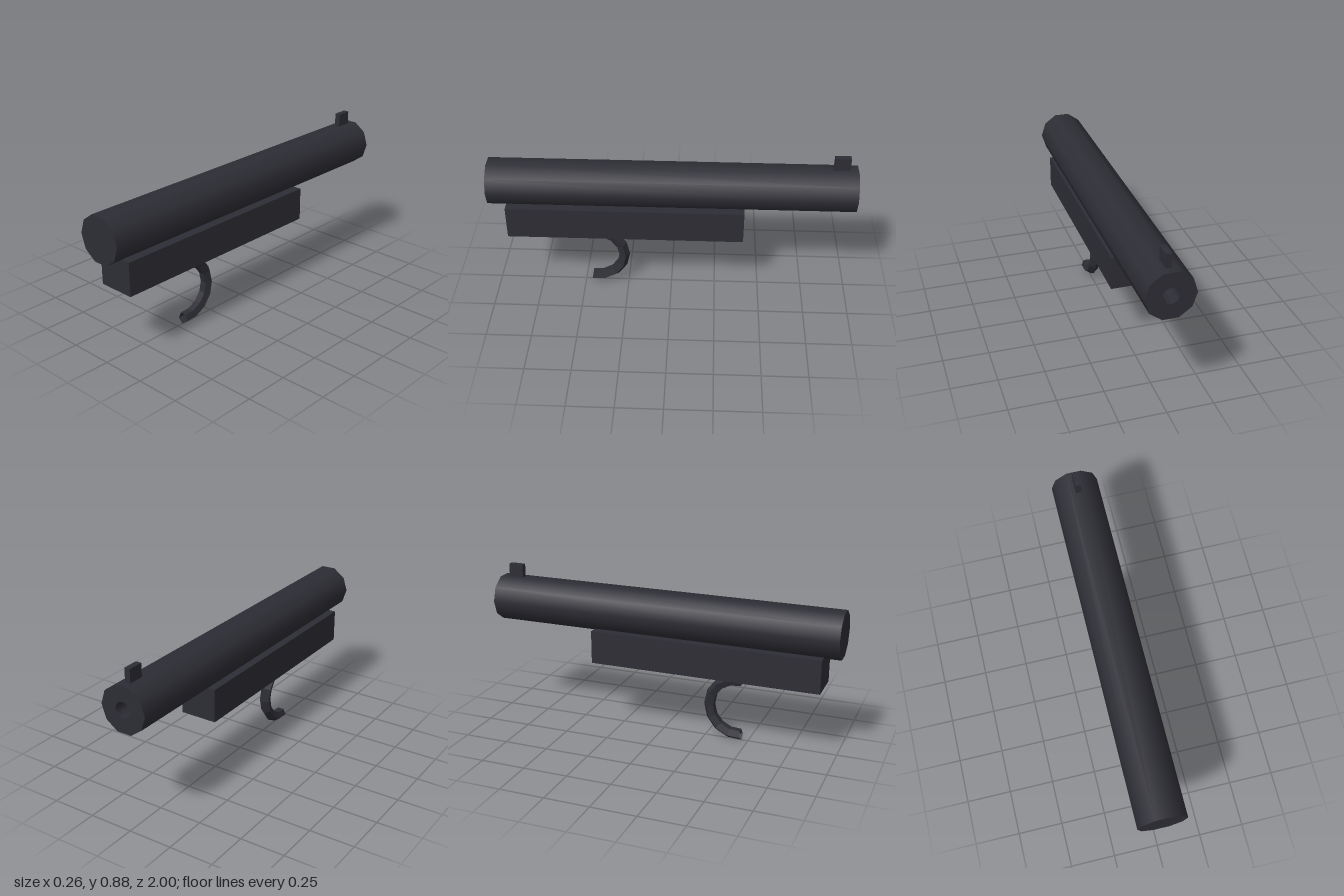
import * as THREE from 'three';

const SIDES = 10;
const BARREL_Y = 0.688, BARREL_R = 0.132, BORE_R = 0.045, BORE_DEPTH = 0.3;

export function createModel() {
  const gunmetal = new THREE.MeshStandardMaterial({ color: 0x2d2d35, side: THREE.DoubleSide });
  gunmetal.name = 'gunmetal';
  const model = new THREE.Group();
  model.name = 'model';

  const add = (parent, name, geometry, x, y, z) => {
    const mesh = new THREE.Mesh(geometry, gunmetal);
    mesh.name = name;
    mesh.position.set(x, y, z);
    parent.add(mesh);
    return mesh;
  };
  // open tube lying along z, with corners at left and right
  const tube = (radius, length) =>
    new THREE.CylinderGeometry(radius, radius, length, SIDES, 1, true, Math.PI / 2).rotateX(Math.PI / 2);

  // barrel: smooth wall, closed breech, ring muzzle and recessed bore
  const barrel = new THREE.Group();
  barrel.name = 'barrel';
  barrel.position.y = BARREL_Y;
  model.add(barrel);
  add(barrel, 'barrelWall', tube(BARREL_R, 2), 0, 0, 0);
  add(barrel, 'breechCap', new THREE.CircleGeometry(BARREL_R, SIDES), 0, 0, 1);
  add(barrel, 'muzzleRing', new THREE.RingGeometry(BORE_R, BARREL_R, SIDES).rotateY(Math.PI), 0, 0, -1);
  add(barrel, 'boreWall', tube(BORE_R, BORE_DEPTH), 0, 0, -1 + BORE_DEPTH / 2);
  add(barrel, 'boreEnd', new THREE.CircleGeometry(BORE_R, SIDES).rotateY(Math.PI), 0, 0, -1 + BORE_DEPTH);

  // block under the barrel and sight above the muzzle
  add(model, 'receiver', new THREE.BoxGeometry(0.21, 0.188, 1.31), 0, 0.477, 0.255);
  add(model, 'frontSight', new THREE.BoxGeometry(0.032, 0.09, 0.086), 0, 0.843, -0.911);

  // trigger: open five-sided hook, faceted
  const arc = 3.44;
  const hook = new THREE.TorusGeometry(0.163, 0.0325, 5, 8, arc)
    .rotateZ(-arc / 2).rotateY(Math.PI / 2).toNonIndexed();
  hook.computeVertexNormals();
  add(model, 'trigger', hook, 0, 0.1975, 0.435);

  return model;
}
